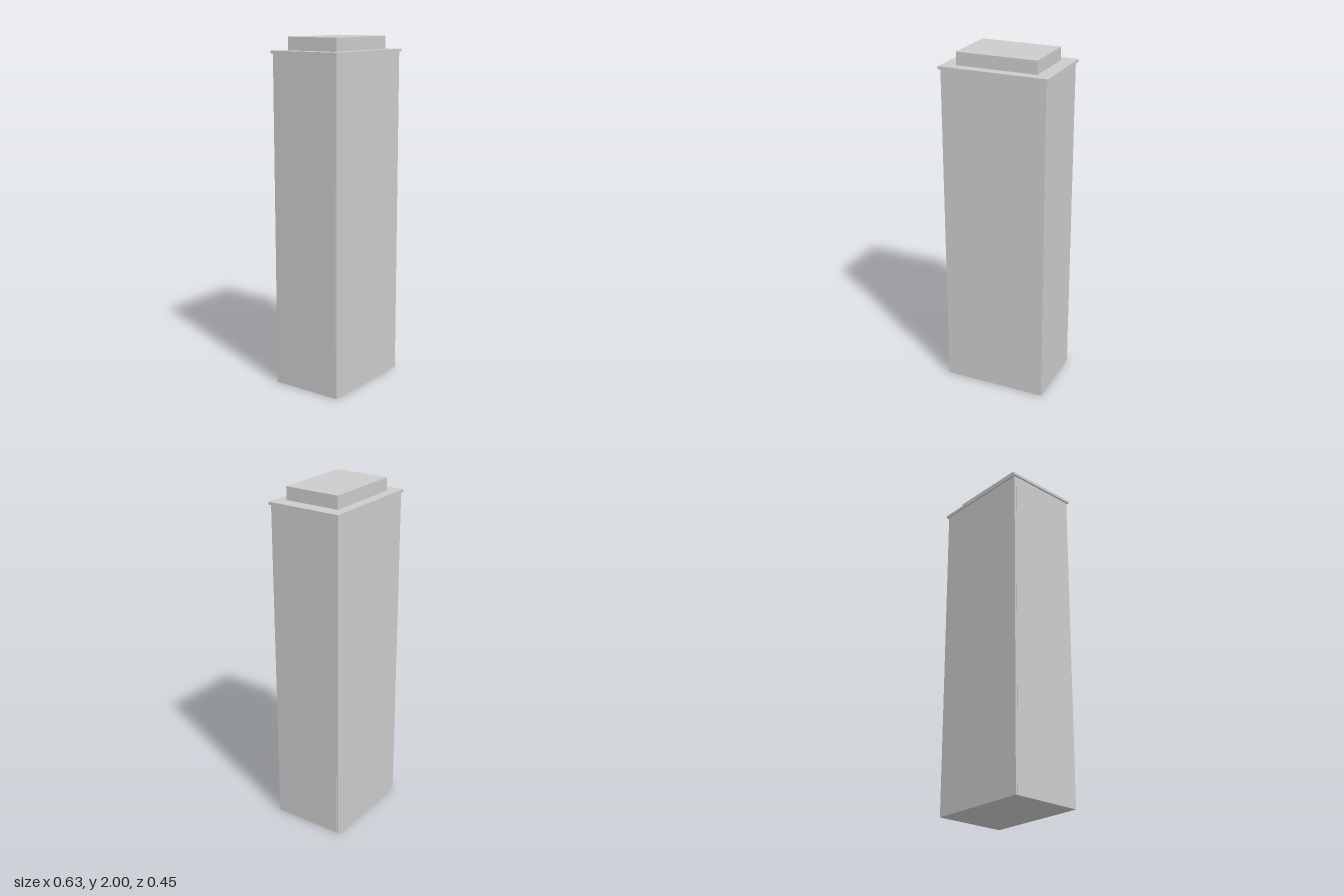
import * as THREE from 'three';

export function createModel() {
  const group = new THREE.Group();
  const material = new THREE.MeshStandardMaterial({ color: 0xcccccc, flatShading: true });

  // Box standing on y0, centred on x
  const addBox = (name, width, y0, y1, depth, z = 0) => {
    const mesh = new THREE.Mesh(new THREE.BoxGeometry(width, y1 - y0, depth), material);
    mesh.name = name;
    mesh.position.set(0, (y0 + y1) / 2, z);
    group.add(mesh);
  };

  // Tower core with thin facade slabs on the front and back
  addBox('towerCore', 0.61, 0, 1.91, 0.406);
  addBox('frontFacade', 0.608, 0, 1.91, 0.012, 0.209);
  addBox('backFacade', 0.608, 0, 1.91, 0.012, -0.209);

  // Overhanging roof slab and the plant room on top
  addBox('roofSlab', 0.63, 1.91, 1.926, 0.448);
  addBox('roofPlantRoom', 0.47, 1.926, 2, 0.33);

  return group;
}
